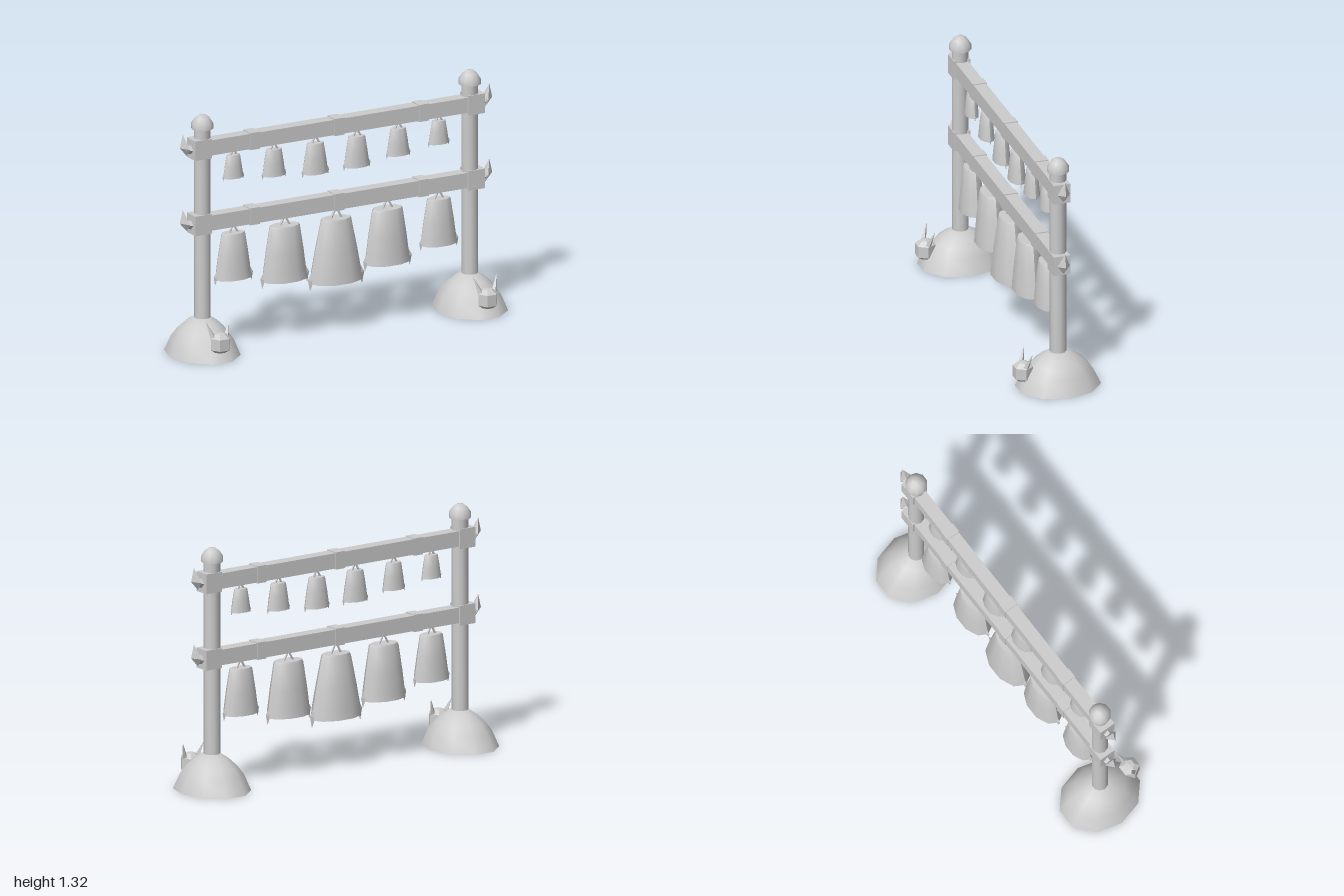
import * as THREE from 'three';
import { toCreasedNormals } from 'three/addons/utils/BufferGeometryUtils.js';
import { ConvexGeometry } from 'three/addons/geometries/ConvexGeometry.js';

const grey = new THREE.MeshStandardMaterial({ color: 0xcccccc });
grey.name = 'paleGrey';

function add(parent, name, geometry, x = 0, y = 0, z = 0) {
  const mesh = new THREE.Mesh(geometry, grey);
  mesh.name = name;
  mesh.position.set(x, y, z);
  parent.add(mesh);
  return mesh;
}

// Turned solid from a bottom-to-top profile of [radius, y], optionally squashed in z
function turned(profile, sides, zScale = 1, crease = 0.9) {
  const pts = profile.map(([r, y]) => new THREE.Vector2(r, y));
  const g = new THREE.LatheGeometry(pts, sides, Math.PI / sides);
  g.scale(1, 1, zScale);
  return toCreasedNormals(g, crease);
}

// Faceted solid around a few corner points
const hull = (pts) => new ConvexGeometry(pts.map((p) => new THREE.Vector3(...p)));

// Straight rod between two points
function rod(parent, name, a, b, r0, r1, sides) {
  const A = new THREE.Vector3(...a), B = new THREE.Vector3(...b);
  const d = B.clone().sub(A);
  const g = toCreasedNormals(new THREE.CylinderGeometry(r1, r0, d.length(), sides), 0.5);
  const m = add(parent, name, g);
  m.position.copy(A).add(B).multiplyScalar(0.5);
  m.quaternion.setFromUnitVectors(new THREE.Vector3(0, 1, 0), d.normalize());
}

// Squashed bell with a hanger and a hooked thorn on each side; y is measured from the beam
function bell(parent, x, beamY, top, bottom, R, rTop) {
  const g = new THREE.Group();
  g.name = 'bell';
  g.position.x = x;
  parent.add(g);
  const h = top - bottom;
  add(g, 'bellBody', turned([
    [0, bottom], [R, bottom], [R * 0.96, bottom + h * 0.16],
    [rTop + (R - rTop) * 0.56, bottom + h * 0.5],
    [rTop * 1.02, top - h * 0.04], [rTop * 0.94, top], [0, top],
  ], 10, 0.6, 0.8));
  const k = R / 0.155;
  for (const s of [-1, 1]) {
    rod(g, 'hangerRod', [s * 0.034 * Math.sqrt(k), top - 0.005, 0], [0, beamY + 0.005, 0], 0.006, 0.006, 5);
    const thorn = hull([
      [R - 0.014 * k, bottom + 0.075 * k, 0],
      [R - 0.012 * k, bottom + 0.015 * k, 0.012 * k], [R - 0.012 * k, bottom + 0.015 * k, -0.012 * k],
      [R + 0.015 * k, bottom + 0.025 * k, 0],
      [R + 0.002 * k, bottom - 0.042 * k, 0],
    ]);
    add(g, 'bellThorn', thorn).rotation.y = s < 0 ? Math.PI : 0;
  }
}

// Beam with collars, end blocks and claw finials
function beam(parent, y) {
  add(parent, 'beam', new THREE.BoxGeometry(1.6, 0.084, 0.07), 0, y, 0);
  for (const x of [-0.51, 0, 0.51]) {
    add(parent, 'beamCollar', new THREE.BoxGeometry(0.058, 0.094, 0.078), x, y, 0);
  }
  for (const s of [-1, 1]) {
    add(parent, 'endBlock', new THREE.BoxGeometry(0.1, 0.108, 0.092), s * 0.825, y, 0);
    const claw = new THREE.Group();
    claw.name = 'clawFinial';
    claw.position.y = y;
    claw.rotation.y = s < 0 ? Math.PI : 0;
    parent.add(claw);
    add(claw, 'clawHead', hull([
      [0.925, 0.088, 0], [0.943, 0.014, 0], [0.9, -0.035, 0],
      [0.9, 0.008, 0.035], [0.9, 0.008, -0.035], [0.892, 0.012, 0],
    ]));
    rod(claw, 'clawNeck', [0.865, -0.004, 0], [0.912, 0.002, 0], 0.026, 0.02, 4);
  }
}

// Small horned head resting on the front of a footing
function hornedHead(parent, x) {
  const g = new THREE.Group();
  g.name = 'hornedHead';
  g.position.set(x, 0, 0.195);
  parent.add(g);
  add(g, 'head', turned([
    [0, 0.05], [0.03, 0.055], [0.056, 0.072], [0.056, 0.135], [0.028, 0.158], [0, 0.162],
  ], 6, 0.98, 0.1)).rotation.y = 0;
  for (const s of [-1, 1]) {
    rod(g, 'horn', [s * 0.036, 0.125, 0], [s * 0.07, 0.222, -0.03], 0.018, 0.001, 4);
  }
}

export function createModel() {
  const model = new THREE.Group();
  model.name = 'bellRack';
  const frame = new THREE.Group();
  frame.name = 'frame';
  frame.position.z = -0.01;
  model.add(frame);

  // Footings, posts and caps
  for (const s of [-1, 1]) {
    const x = s * 0.807;
    add(frame, 'footing', turned([
      [0, 0], [0.193, 0], [0.158, 0.085], [0.125, 0.132], [0.085, 0.17], [0.045, 0.196], [0, 0.196],
    ], 10, 1.2), x);
    add(frame, 'post', turned([[0, 0.1], [0.044, 0.1], [0.044, 1.25], [0, 1.25]], 10), x);
    add(frame, 'postCap', turned([
      [0, 1.24], [0.059, 1.24], [0.059, 1.27], [0.04, 1.298], [0.018, 1.314], [0, 1.316],
    ], 10), x);
    hornedHead(frame, x);
  }

  beam(frame, 1.134);
  beam(frame, 0.718);

  // Bells: [x, beam underside, top, bottom, rim radius, top radius]
  const bells = [
    [0.62, 1.092, 1.066, 0.94, 0.06, 0.04],
    [0.375, 1.092, 1.061, 0.915, 0.068, 0.046],
    [0.125, 1.092, 1.056, 0.89, 0.076, 0.05],
    [0.62, 0.676, 0.636, 0.385, 0.108, 0.07],
    [0.31, 0.676, 0.63, 0.33, 0.134, 0.09],
    [0, 0.676, 0.622, 0.276, 0.155, 0.09],
  ];
  for (const [x, ...dims] of bells) {
    bell(frame, x, ...dims);
    if (x > 0) bell(frame, -x, ...dims);
  }
  return model;
}
